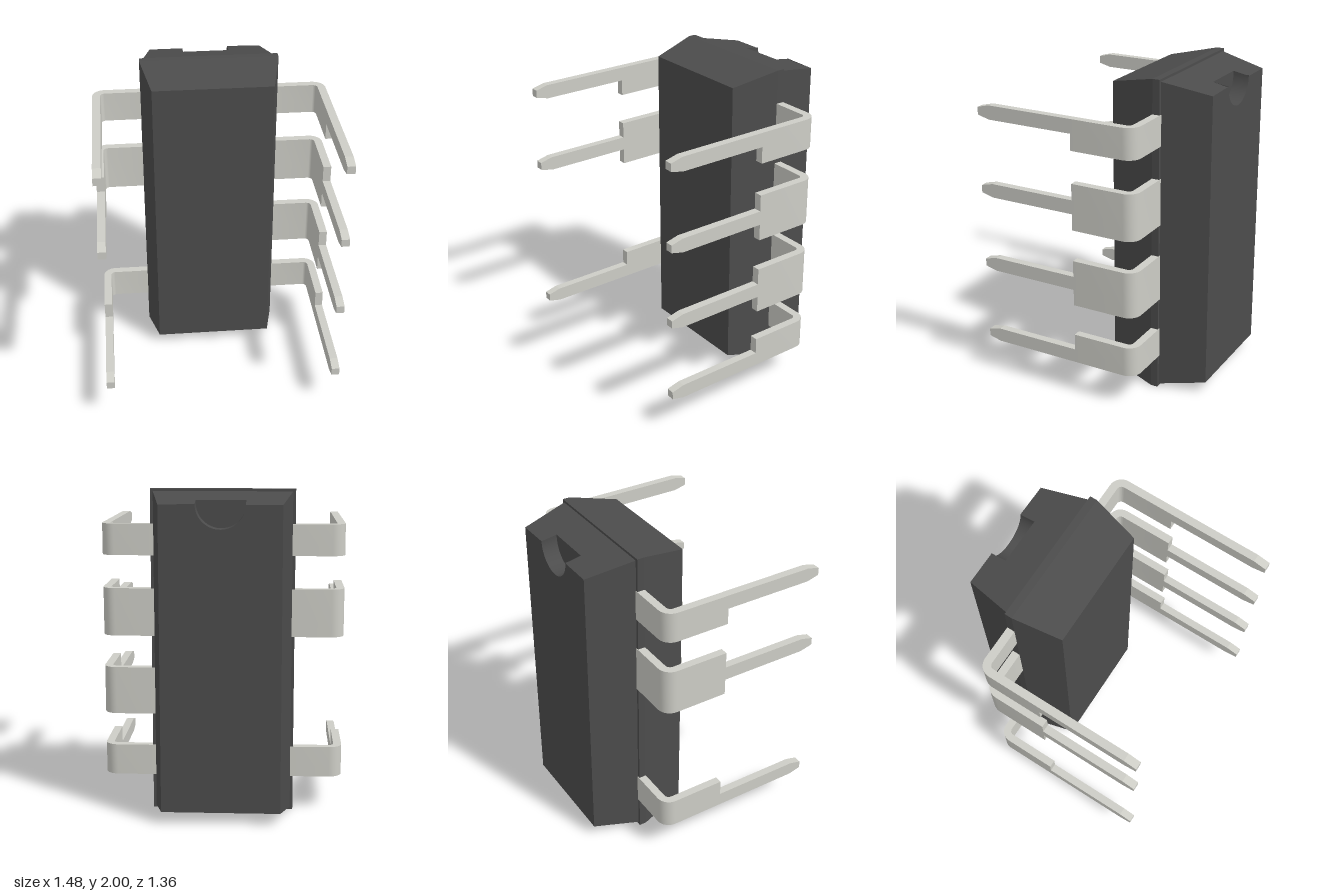
import * as THREE from 'three';
import { toCreasedNormals } from 'three/addons/utils/BufferGeometryUtils.js';

const bodyMat = new THREE.MeshStandardMaterial({ color: 0x4c4c4c });
const pinMat = new THREE.MeshStandardMaterial({ color: 0xcdcdc6 });

function add(parent, name, geometry, material) {
  const mesh = new THREE.Mesh(geometry, material);
  mesh.name = name;
  parent.add(mesh);
}

// Block between two z planes, each end with its own [half width, half height], centred on y = 1
function taperedBlock(zBack, back, zFront, front) {
  const g = new THREE.BoxGeometry(2, 2, 2).toNonIndexed();
  const p = g.attributes.position;
  for (let i = 0; i < p.count; i++) {
    const isFront = p.getZ(i) > 0;
    const [w, h] = isFront ? front : back;
    p.setXYZ(i, p.getX(i) * w, 1 + p.getY(i) * h, isFront ? zFront : zBack);
  }
  g.computeVertexNormals();
  return g;
}

// Rear slab with a half-round notch in its top edge, narrowing towards the back
function notchedSlab(zBack, back, zFront, front) {
  const [w, h] = front, r = 0.147, cy = 0.93;
  const s = new THREE.Shape();
  s.moveTo(-w, -h);
  s.lineTo(w, -h);
  s.lineTo(w, h);
  s.lineTo(r, h);
  s.lineTo(r, cy);
  s.absarc(0, cy, r, 0, -Math.PI, true);
  s.lineTo(-r, h);
  s.lineTo(-w, h);
  s.closePath();
  const g = new THREE.ExtrudeGeometry(s, { depth: zFront - zBack, bevelEnabled: false, curveSegments: 24 });
  const p = g.attributes.position;
  for (let i = 0; i < p.count; i++) {
    if (p.getZ(i) > 0.001) continue;
    const x = p.getX(i), y = p.getY(i);
    if (Math.abs(x) > w - 0.001) p.setX(i, Math.sign(x) * back[0]);
    if (Math.abs(y) > h - 0.001) p.setY(i, Math.sign(y) * back[1]);
  }
  g.translate(0, 1, zBack);
  return toCreasedNormals(g, 0.5);
}

// Bent lead: wide shoulder around the corner, then a narrow pointed tip
function makePin(side, y, below, above) {
  const pin = new THREE.Group();
  const xo = 0.74, xi = 0.69, zo = -0.385, zi = -0.335, zEnd = 0.035, R = 0.08, r = 0.03;
  const pts = [[0.4, zo]];
  const arc = (rad, from, to) => {
    for (let i = 0; i <= 8; i++) {
      const a = from + (to - from) * i / 8;
      pts.push([xo - R + rad * Math.cos(a), zo + R + rad * Math.sin(a)]);
    }
  };
  arc(R, -Math.PI / 2, 0);
  pts.push([xo, zEnd], [xi, zEnd]);
  arc(r, 0, -Math.PI / 2);
  pts.push([0.4, zi]);
  const profile = new THREE.Shape(pts.map(([x, z]) => new THREE.Vector2(x * side, z)));
  const shoulder = new THREE.ExtrudeGeometry(profile, { depth: below + above, bevelEnabled: false });
  shoulder.rotateX(Math.PI / 2).translate(0, y + above, 0);
  add(pin, 'pinShoulder', toCreasedNormals(shoulder, 0.6), pinMat);

  const tipShape = new THREE.Shape([
    [zEnd, -0.044], [0.6, -0.044], [0.68, -0.024], [0.68, 0.024], [0.6, 0.044], [zEnd, 0.044],
  ].map(([z, h]) => new THREE.Vector2(z, h)));
  const tip = new THREE.ExtrudeGeometry(tipShape, { depth: xo - xi, bevelEnabled: false });
  tip.rotateY(-Math.PI / 2).translate(side > 0 ? xo : -xi, y, 0);
  add(pin, 'pinTip', tip, pinMat);
  return pin;
}

export function createModel() {
  const model = new THREE.Group();
  model.name = 'chip';

  // Package body: front half, parting rim, rear half with notch
  const body = new THREE.Group();
  body.name = 'body';
  add(body, 'frontHalf', taperedBlock(-0.335, [0.437, 1], -0.04, [0.375, 0.935]), bodyMat);
  add(body, 'partingRim', taperedBlock(-0.382, [0.437, 1], -0.335, [0.437, 1]), bodyMat);
  add(body, 'rearHalf', taperedBlock(-0.58, [0.38, 0.945], -0.382, [0.42, 0.985]), bodyMat);
  add(body, 'notchedBack', notchedSlab(-0.68, [0.36, 0.925], -0.58, [0.38, 0.945]), bodyMat);
  model.add(body);

  // Pins: [height, shoulder below, shoulder above]; the right side lacks the third
  const rows = [[1.746, 0.147, 0.044], [1.25, 0.147, 0.147], [0.757, 0.147, 0.147], [0.261, 0.044, 0.147]];
  for (const side of [1, -1]) {
    rows.forEach(([y, below, above], i) => {
      if (side < 0 && i === 2) return;
      const pin = makePin(side, y, below, above);
      pin.name = `${side > 0 ? 'left' : 'right'}Pin${i + 1}`;
      model.add(pin);
    });
  }
  return model;
}
